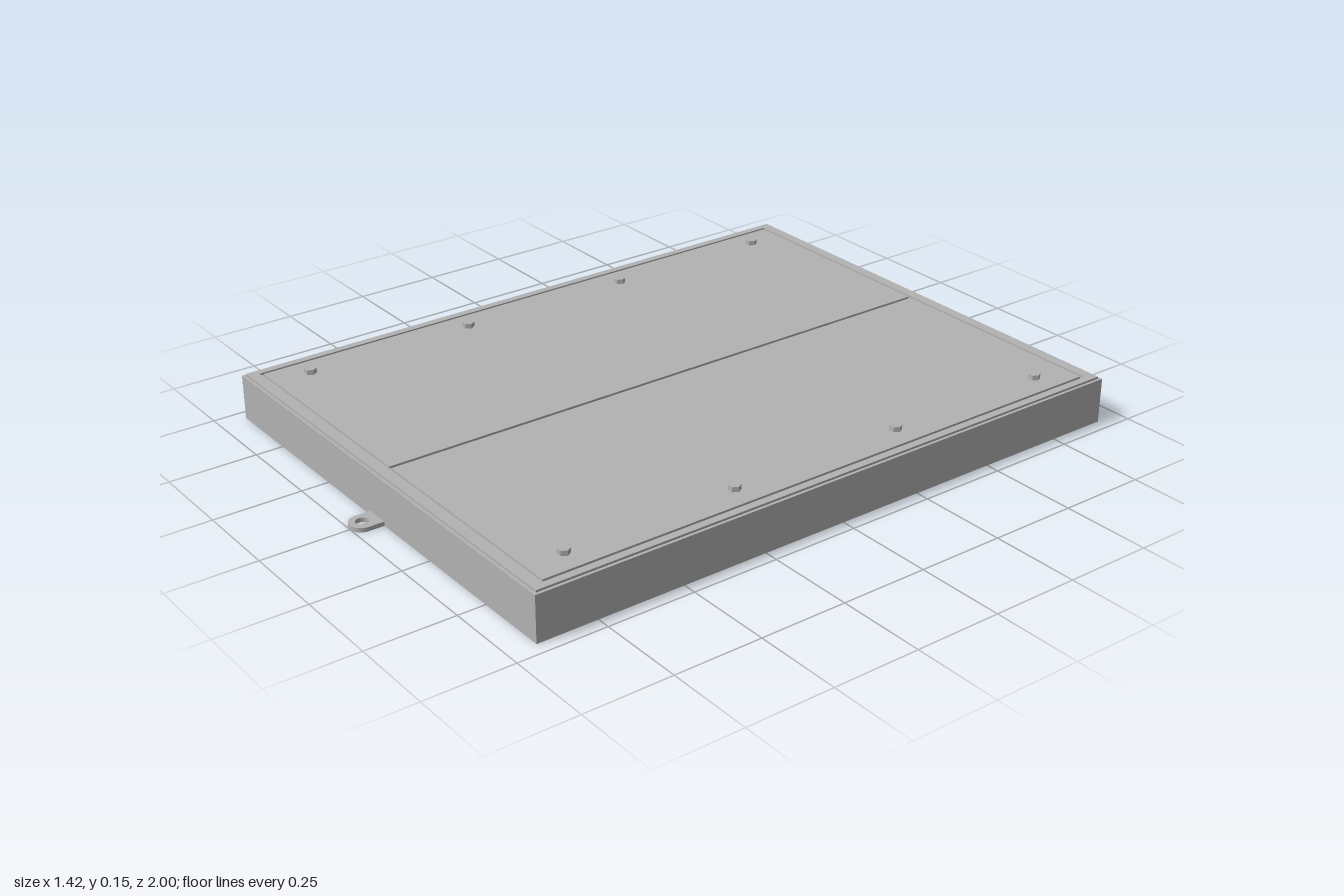
import * as THREE from 'three';

export function createModel() {
  const group = new THREE.Group();
  const grey = new THREE.MeshStandardMaterial({ color: 0xb2b2b2 });
  grey.name = 'grey metal';

  function add(name, geometry, x, y, z) {
    const mesh = new THREE.Mesh(geometry, grey);
    mesh.name = name;
    mesh.position.set(x, y, z);
    group.add(mesh);
    return mesh;
  }

  function rect(ctx, w, d) {
    ctx.moveTo(-w, -d);
    ctx.lineTo(w, -d);
    ctx.lineTo(w, d);
    ctx.lineTo(-w, d);
    ctx.closePath();
    return ctx;
  }

  // extrude a plan shape upwards
  function slab(shape, height) {
    return new THREE.ExtrudeGeometry(shape, { depth: height, bevelEnabled: false, curveSegments: 16 })
      .rotateX(-Math.PI / 2);
  }

  const base = 0.129, top = 0.135;

  // shallow tray body
  add('body', new THREE.BoxGeometry(1.424, base, 1.844), 0, base / 2, 0);

  // raised border frame
  const frame = rect(new THREE.Shape(), 0.704, 0.914);
  frame.holes.push(rect(new THREE.Path(), 0.682, 0.884));
  add('borderFrame', slab(frame, top - base), 0, base, 0);

  // two cover panels separated by narrow grooves
  for (const side of [-1, 1]) {
    add(side > 0 ? 'leftPanel' : 'rightPanel',
      new THREE.BoxGeometry(0.669, top - base, 1.752), side * 0.3395, (base + top) / 2, 0);

    // row of hexagonal bolts
    for (const z of [-0.77, -0.265, 0.265, 0.77]) {
      const bolt = new THREE.CylinderGeometry(0.017, 0.017, 0.014, 6).toNonIndexed();
      bolt.computeVertexNormals();
      add('bolt', bolt, side * 0.605, top + 0.007, z).rotation.y = Math.PI / 6;
    }
  }

  // mounting lugs with a hole, front and back
  const lug = new THREE.Shape();
  lug.moveTo(-0.035, 0);
  lug.lineTo(0.035, 0);
  lug.lineTo(0.035, 0.043);
  lug.absarc(0, 0.043, 0.035, 0, Math.PI, false);
  lug.closePath();
  lug.holes.push(new THREE.Path().absarc(0, 0.043, 0.018, 0, Math.PI * 2, true));
  for (const side of [-1, 1]) {
    add(side > 0 ? 'frontLug' : 'backLug', slab(lug, 0.012), 0, 0, side * 0.922)
      .rotation.y = side > 0 ? Math.PI : 0;
  }

  return group;
}
